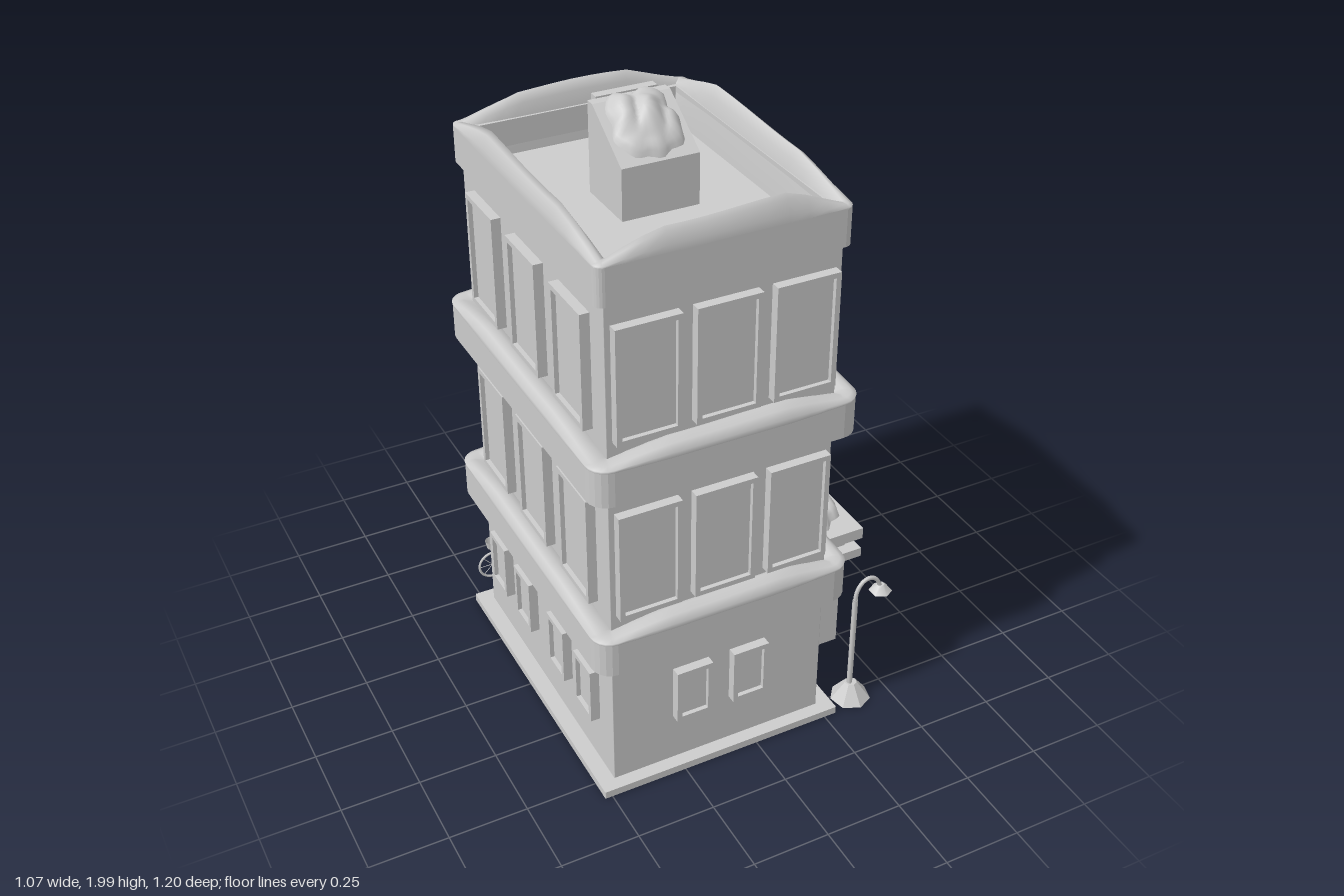
import * as THREE from 'three';

const grey = new THREE.MeshStandardMaterial({ color: 0xcccccc, side: THREE.DoubleSide });
grey.name = 'plain grey';

function add(parent, name, geo, x = 0, y = 0, z = 0) {
  const m = new THREE.Mesh(geo, grey);
  m.name = name;
  m.position.set(x, y, z);
  parent.add(m);
  return m;
}
function group(parent, name, x = 0, y = 0, z = 0) {
  const g = new THREE.Group();
  g.name = name;
  g.position.set(x, y, z);
  parent.add(g);
  return g;
}
// box given by its limits
function block(parent, name, x0, x1, y0, y1, z0, z1) {
  return add(parent, name, new THREE.BoxGeometry(x1 - x0, y1 - y0, z1 - z0), (x0 + x1) / 2, (y0 + y1) / 2, (z0 + z1) / 2);
}
const V = (x, y, z) => new THREE.Vector3(x, y, z);
function rod(parent, name, pts, r, steps = 12) {
  const path = pts.length === 2 ? new THREE.LineCurve3(...pts) : new THREE.CatmullRomCurve3(pts);
  return add(parent, name, new THREE.TubeGeometry(path, pts.length === 2 ? 1 : steps, r, 6));
}

// points round a rounded rectangle; s runs 0..1 along each straight side
function perimeter(hw, hd, r) {
  const out = [], signs = [[1, 1], [-1, 1], [-1, -1], [1, -1]];
  const arc = (k, j) => {
    const a = (k + j / 5) * Math.PI / 2, [sx, sz] = signs[k % 4];
    return { x: sx * (hw - r) + r * Math.cos(a), z: sz * (hd - r) + r * Math.sin(a), s: 0, k };
  };
  for (let k = 0; k < 4; k++) {
    for (let j = 0; j <= 5; j++) out.push(arc(k, j));
    const a = arc(k, 5), b = arc((k + 1) % 4, 0);
    for (let j = 1; j < 12; j++) {
      const s = j / 12;
      out.push({ x: a.x + (b.x - a.x) * s, z: a.z + (b.z - a.z) * s, s, k });
    }
  }
  return out;
}
// wall ring between two rounded rectangles
function band(parent, name, hw, hd, r, inW, inD, y0, y1) {
  const v = p => new THREE.Vector2(p.x, -p.z);
  const shape = new THREE.Shape(perimeter(hw, hd, r).map(v));
  shape.holes.push(new THREE.Path(perimeter(inW, inD, 0.001).map(v)));
  const geo = new THREE.ExtrudeGeometry(shape, { depth: y1 - y0, bevelEnabled: false });
  return add(parent, name, geo.rotateX(-Math.PI / 2), 0, y0, 0);
}
// joins rows of equal length into a smooth skin
function skin(rows, closed = true) {
  const n = rows[0].length, idx = [];
  for (let i = 0; i + 1 < rows.length; i++) for (let j = 0; j < (closed ? n : n - 1); j++) {
    const a = i * n + j, b = i * n + (j + 1) % n;
    idx.push(a, a + n, b, b, a + n, b + n);
  }
  const g = new THREE.BufferGeometry();
  g.setAttribute('position', new THREE.Float32BufferAttribute(rows.flat(2), 3));
  g.setIndex(idx);
  g.computeVertexNormals();
  return g;
}
// snow lying on a ledge: profile entries are [inset, base height, share of drift height]
function ledgeSnow(parent, name, hw, hd, r, y, h, bulge, profile) {
  const rows = profile.map(([d, dy, f]) => perimeter(hw - d, hd - d, Math.max(r - d, 0.003)).map(p => {
    const rise = Math.min(1, 1.45 * Math.sin(Math.PI * p.s)) * (0.9 + 0.1 * Math.sin(7 * p.s + p.k * 2));
    const out = 1 + bulge * rise * (d < 0.02 ? 1 : 0);
    const side = p.k % 2 === 0;
    return [p.x * (side ? 1 : 1 + (out - 1) * 0.3), y + dy + f * (h * rise + 0.006), p.z * (side ? out : 1)];
  }));
  return add(parent, name, skin(rows), 0, 0, 0);
}
// lumpy drift on a slope
function drift(parent, name, w, d, h, slope, x, y, z) {
  const rows = [];
  for (let i = 0; i <= 14; i++) {
    const row = [], q = Math.max(0.001, i / 14);
    for (let j = 0; j < 40; j++) {
      const a = j / 40 * Math.PI * 2, c = Math.cos(a), s = Math.sin(a);
      const edge = Math.pow(c ** 4 + s ** 4, -0.25) * (0.93 + 0.05 * Math.sin(5 * a) + 0.04 * Math.sin(9 * a + 1));
      const px = c * edge * q, pz = s * edge * q;
      const lump = 0.68 + 0.32 * Math.abs(Math.sin(4.2 * px + 1.3 * pz + 0.8) * Math.cos(2.4 * pz - 0.8 * px));
      row.push([px * w / 2, h * Math.sqrt(1 - q * q) * lump - slope * pz * d / 2, pz * d / 2]);
    }
    rows.push(row.reverse());
  }
  return add(parent, name, skin(rows), x, y, z);
}
// framed window facing +z
function windowUnit(parent, w, h, x, y, z, turn) {
  const g = group(parent, 'window', x, y, z);
  g.rotation.y = turn;
  const rect = (T, a, b) => new T([[-a, -b], [a, -b], [a, b], [-a, b]].map(p => new THREE.Vector2(...p)));
  const shape = rect(THREE.Shape, w / 2, h / 2);
  shape.holes.push(rect(THREE.Path, w / 2 - 0.016, h / 2 - 0.016));
  add(g, 'windowFrame', new THREE.ExtrudeGeometry(shape, { depth: 0.03, bevelEnabled: false }));
  add(g, 'windowPane', new THREE.BoxGeometry(w - 0.03, h - 0.03, 0.008), 0, 0, 0.012);
}

function bicycle(parent, x, z) {
  const g = group(parent, 'bicycle', x, 0, z);
  const hubs = [-0.112, 0.112];
  for (const hx of hubs) {
    add(g, 'tyre', new THREE.TorusGeometry(0.05, 0.0045, 6, 24), hx, 0.055, 0);
    for (let i = 0; i < 4; i++) {
      const c = 0.05 * Math.cos(i * Math.PI / 4), s = 0.05 * Math.sin(i * Math.PI / 4);
      rod(g, 'spokes', [V(hx - c, 0.055 - s, 0), V(hx + c, 0.055 + s, 0)], 0.0012);
    }
  }
  const front = V(hubs[0], 0.055, 0), rear = V(hubs[1], 0.055, 0), crank = V(0.015, 0.05, 0);
  const head = V(-0.085, 0.135, 0), seat = V(0.05, 0.125, 0);
  for (const pair of [[front, head], [head, seat], [head, crank], [seat, crank], [seat, rear], [crank, rear],
    [head, V(-0.077, 0.165, 0)], [seat, V(0.056, 0.152, 0)]]) rod(g, 'frameTube', pair, 0.004);
  rod(g, 'handlebar', [V(-0.055, 0.172, -0.027), V(-0.085, 0.175, -0.022), V(-0.09, 0.168, 0), V(-0.085, 0.175, 0.022), V(-0.055, 0.172, 0.027)], 0.004);
  add(g, 'saddle', new THREE.SphereGeometry(1, 10, 6).scale(0.027, 0.007, 0.012), 0.055, 0.157, 0);
  add(g, 'chainwheel', new THREE.CylinderGeometry(0.016, 0.016, 0.004, 14).rotateX(Math.PI / 2), 0.015, 0.05, 0.006);
  for (const s of [-1, 1]) {
    rod(g, 'crankArm', [V(0.015, 0.05, s * 0.01), V(0.015 - s * 0.022, 0.04, s * 0.01)], 0.003);
    add(g, 'pedal', new THREE.BoxGeometry(0.02, 0.005, 0.014), 0.015 - s * 0.022, 0.04, s * 0.018);
  }
  add(g, 'basket', new THREE.CylinderGeometry(0.022, 0.016, 0.03, 10, 1, true), -0.112, 0.145, 0);
}

function streetLamp(parent, z) {
  const g = group(parent, 'streetLamp', 0.37, 0, z);
  rod(g, 'lampPost', [V(0, 0, 0), V(0, 0.4, 0)], 0.009);
  const arc = [];
  for (let i = 0; i <= 8; i++) {
    const a = Math.PI * (1 - i / 8);
    arc.push(V(0.046 + 0.046 * Math.cos(a), 0.4 + 0.07 * Math.sin(a), 0));
  }
  arc.push(V(0.092, 0.425 - 0.01, 0));
  arc.splice(8, 1);
  rod(g, 'lampArm', arc, 0.007, 20);
  add(g, 'lampShade', new THREE.CylinderGeometry(0.012, 0.037, 0.025, 6), 0.092, 0.418, 0);
  add(g, 'lampBulb', new THREE.SphereGeometry(0.014, 8, 6), 0.092, 0.4, 0);
  const pile = new THREE.CylinderGeometry(0.02, 0.066, 0.06, 7, 2).toNonIndexed();
  pile.computeVertexNormals();
  add(g, 'lampSnowPile', pile, 0.005, 0.03, 0);
}

export function createModel() {
  const root = new THREE.Group();
  root.name = 'snowyBuilding';
  const b = group(root, 'tower', -0.116, 0, 0.045);
  const W = 0.357, D = 0.483;

  // walls, plinth and roof deck
  band(b, 'walls', W, D, 0.002, W - 0.006, D - 0.006, 0, 1.69);
  band(b, 'plinth', 0.408, 0.526, 0.003, W - 0.006, D - 0.006, 0, 0.025);
  add(b, 'roofDeck', new THREE.BoxGeometry(2 * W, 0.012, 2 * D), 0, 1.686, 0);

  // ledges with snow
  for (const y of [0.49, 1.09]) {
    band(b, 'ledge', 0.42, 0.54, 0.06, W, D, y, y + 0.115);
    ledgeSnow(b, 'ledgeSnow', 0.42, 0.54, 0.06, y + 0.115, 0.036, 0.018,
      [[0, -0.003, 0], [-0.002, 0.004, 0.3], [0.014, 0.006, 0.8], [0.035, 0.006, 1], [0.063, 0, 0.7]]);
  }
  // parapet with snow
  band(b, 'parapet', 0.381, 0.498, 0.025, 0.328, 0.44, 1.685, 1.8);
  ledgeSnow(b, 'parapetSnow', 0.381, 0.498, 0.025, 1.8, 0.067, 0,
    [[0, -0.003, 0], [0, 0.002, 0.3], [0.012, 0.003, 0.85], [0.026, 0.003, 1], [0.042, 0, 0.6], [0.053, -0.02, 0.1], [0.06, -0.108, 0]]);

  // windows on every side
  const faces = [[0, W, D], [Math.PI, W, D], [Math.PI / 2, D, W], [-Math.PI / 2, D, W]];
  faces.forEach(([turn, , depth], f) => {
    const place = (u, y, w, h) => windowUnit(b, w, h,
      u * Math.cos(turn) + depth * Math.sin(turn), y, depth * Math.cos(turn) - u * Math.sin(turn), turn);
    for (const y of [0.84, 1.44]) for (const i of [-1, 0, 1]) place(i * (f < 2 ? 0.24 : 0.3), y, 0.198, 0.362);
    const low = f < 2 ? [-0.096, 0.096] : f === 3 ? [-0.33, -0.13, 0.13, 0.33] : [];
    for (const u of low) place(u, 0.288, 0.12, 0.19);
  });

  // stair hut on the roof
  const hut = group(root, 'stairHut');
  const side = new THREE.Shape([[0.06, 1.69], [0.06, 1.97], [0.03, 1.97], [-0.15, 1.85], [-0.15, 1.69]].map(p => new THREE.Vector2(...p)));
  add(hut, 'hutBody', new THREE.ExtrudeGeometry(side, { depth: 0.24, bevelEnabled: false }).rotateY(Math.PI / 2), -0.235, 0, 0);
  for (const x of [-0.21, -0.04]) block(hut, 'hutDoorPost', x, x + 0.02, 1.69, 1.975, -0.09, -0.06);
  block(hut, 'hutDoorLintel', -0.19, -0.04, 1.955, 1.975, -0.09, -0.06);
  block(hut, 'hutDoor', -0.19, -0.04, 1.69, 1.955, -0.072, -0.06);
  drift(hut, 'hutSnow', 0.22, 0.2, 0.078, 0.6, -0.115, 1.905, 0.045);

  // entrance porch
  const p = group(root, 'porch', 0, 0, 0.041);
  block(p, 'porchCore', 0.24, 0.4, 0, 0.365, -0.225, 0.225);
  for (const s of [-1, 1]) {
    block(p, 'porchColumn', 0.4, 0.48, 0, 0.365, s * 0.197 - 0.028, s * 0.197 + 0.028);
    const d = group(p, 'porchDoor', 0, 0, s * 0.085);
    block(d, 'doorPanel', 0.4, 0.408, 0, 0.35, -0.07, 0.07);
    for (const e of [-1, 1]) block(d, 'doorStile', 0.4, 0.42, 0, 0.35, e * 0.071 - 0.007, e * 0.071 + 0.007);
    block(d, 'doorRail', 0.4, 0.42, 0.336, 0.35, -0.07, 0.07);
  }
  block(p, 'porchBeam', 0.24, 0.53, 0.365, 0.397, -0.264, 0.264);
  block(p, 'porchFrieze', 0.24, 0.49, 0.397, 0.43, -0.226, 0.226);
  block(p, 'porchMoulding', 0.24, 0.51, 0.422, 0.44, -0.245, 0.245);
  block(p, 'porchRoof', 0.24, 0.532, 0.437, 0.477, -0.264, 0.264);
  drift(p, 'porchSnow', 0.225, 0.46, 0.09, 0, 0.41, 0.474, -0.005);

  // street furniture
  for (const z of [-0.44, 0.522]) streetLamp(root, z);
  for (const x of [-0.308, 0.118]) {
    bicycle(root, x, -0.572);
    rod(root, 'bikeRack', [V(x - 0.05, 0, -0.525), V(x - 0.05, 0.13, -0.525), V(x - 0.03, 0.168, -0.525),
      V(x, 0.175, -0.525), V(x + 0.03, 0.168, -0.525), V(x + 0.05, 0.13, -0.525), V(x + 0.05, 0, -0.525)], 0.006, 28);
  }
  return root;
}
